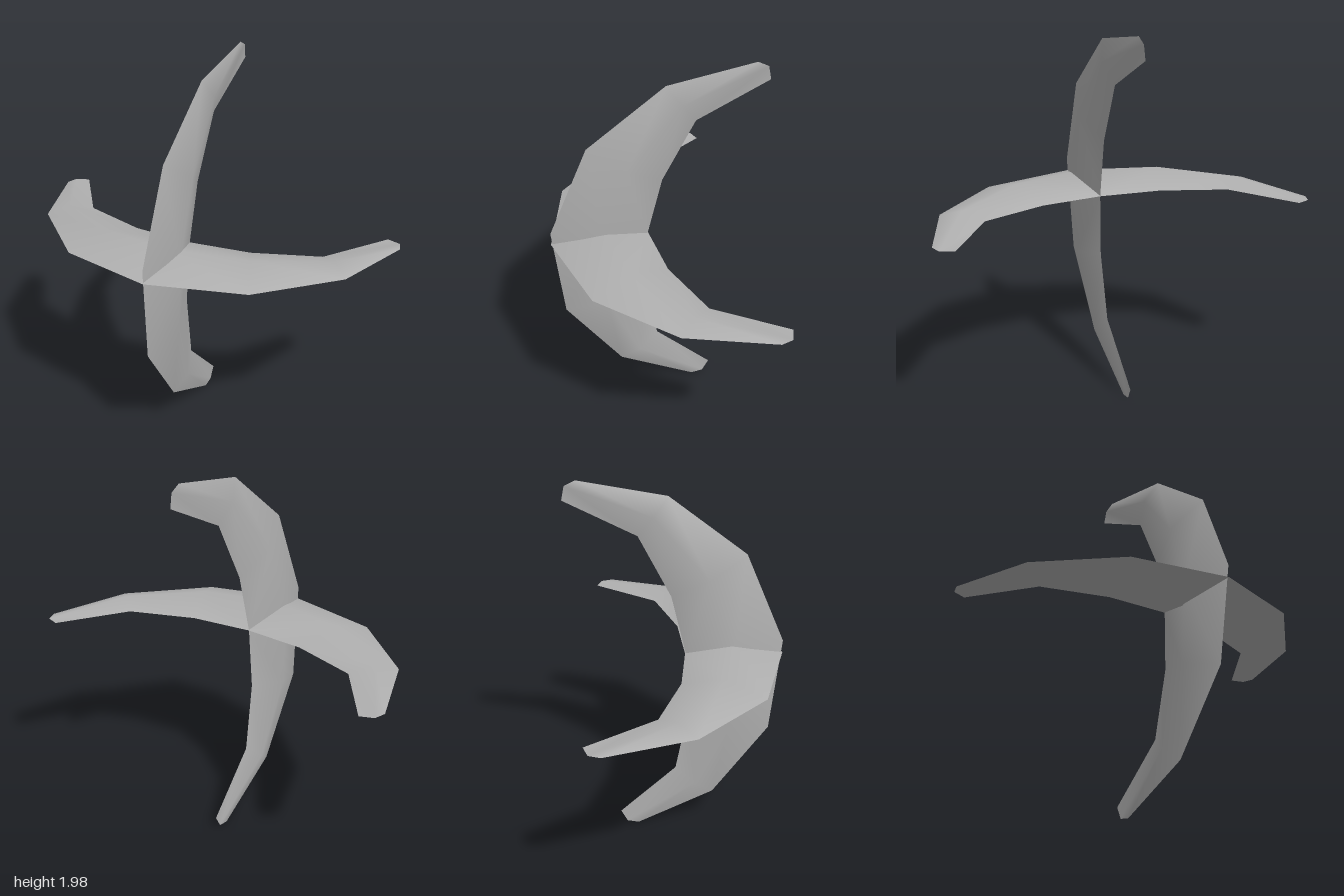
import * as THREE from 'three';

// Half of a blade, from the middle to the tip. Each section lists
// outer edge, ridge and inner edge as [x, z], and the half thickness at the ridge.
const HALF = [
  { pts: [[0, 0.555], [0, 0.3], [0, 0.045]], h: 0.076 },
  { pts: [[0.5, 0.425], [0.41, 0.22], [0.33, 0.015]], h: 0.065 },
  { pts: [[0.857, 0.075], [0.77, -0.015], [0.675, -0.105]], h: 0.036 },
  { pts: [[1.0, -0.36], [0.98, -0.42], [0.91, -0.445]], h: 0 },
];

// One smooth face of the blade: side = 1 for the top, -1 for the underside
function bladeFace(side) {
  const mirrored = HALF.slice(1).reverse().map((s) => ({ ...s, pts: s.pts.map(([x, z]) => [-x, z]) }));
  const sections = [...mirrored, ...HALF];
  const positions = [];
  for (const { pts, h } of sections) {
    pts.forEach(([x, z], j) => positions.push(x, j === 1 ? side * h : 0, z));
  }
  const index = [];
  const tri = (a, b, c) => (side > 0 ? index.push(a, b, c) : index.push(a, c, b));
  for (let i = 0; i < sections.length - 1; i++) {
    for (let j = 0; j < 2; j++) {
      const a = i * 3 + j, b = a + 3, c = a + 1, d = a + 4;
      // diagonals mirror about the middle
      if (i >= HALF.length - 1) {
        tri(a, b, c);
        tri(b, d, c);
      } else {
        tri(a, b, d);
        tri(a, d, c);
      }
    }
  }
  const geometry = new THREE.BufferGeometry();
  geometry.setAttribute('position', new THREE.Float32BufferAttribute(positions, 3));
  geometry.setIndex(index);
  geometry.computeVertexNormals();
  return geometry;
}

export function createModel() {
  const model = new THREE.Group();
  model.name = 'crossedBlades';
  const steel = new THREE.MeshStandardMaterial({ color: 0xb0b0b0 });
  steel.name = 'steel grey';

  const faces = { upperFace: bladeFace(1), lowerFace: bladeFace(-1) };
  const makeBlade = (name) => {
    const blade = new THREE.Group();
    blade.name = name;
    for (const [faceName, geometry] of Object.entries(faces)) {
      const mesh = new THREE.Mesh(geometry, steel);
      mesh.name = faceName;
      blade.add(mesh);
    }
    model.add(blade);
    return blade;
  };

  // Level blade
  makeBlade('horizontalBlade').position.set(0, 1.052, 0);

  // Upright blade, leaning back and slightly sideways
  const upright = makeBlade('verticalBlade');
  const along = new THREE.Vector3(0.028, 0.99, -0.138).normalize();
  const forward = new THREE.Vector3(0, 0.138, 0.99).normalize();
  const across = new THREE.Vector3().crossVectors(forward, along);
  upright.quaternion.setFromRotationMatrix(new THREE.Matrix4().makeBasis(along, across, forward));
  upright.position.set(0, 1.043, 0.005);

  return model;
}
